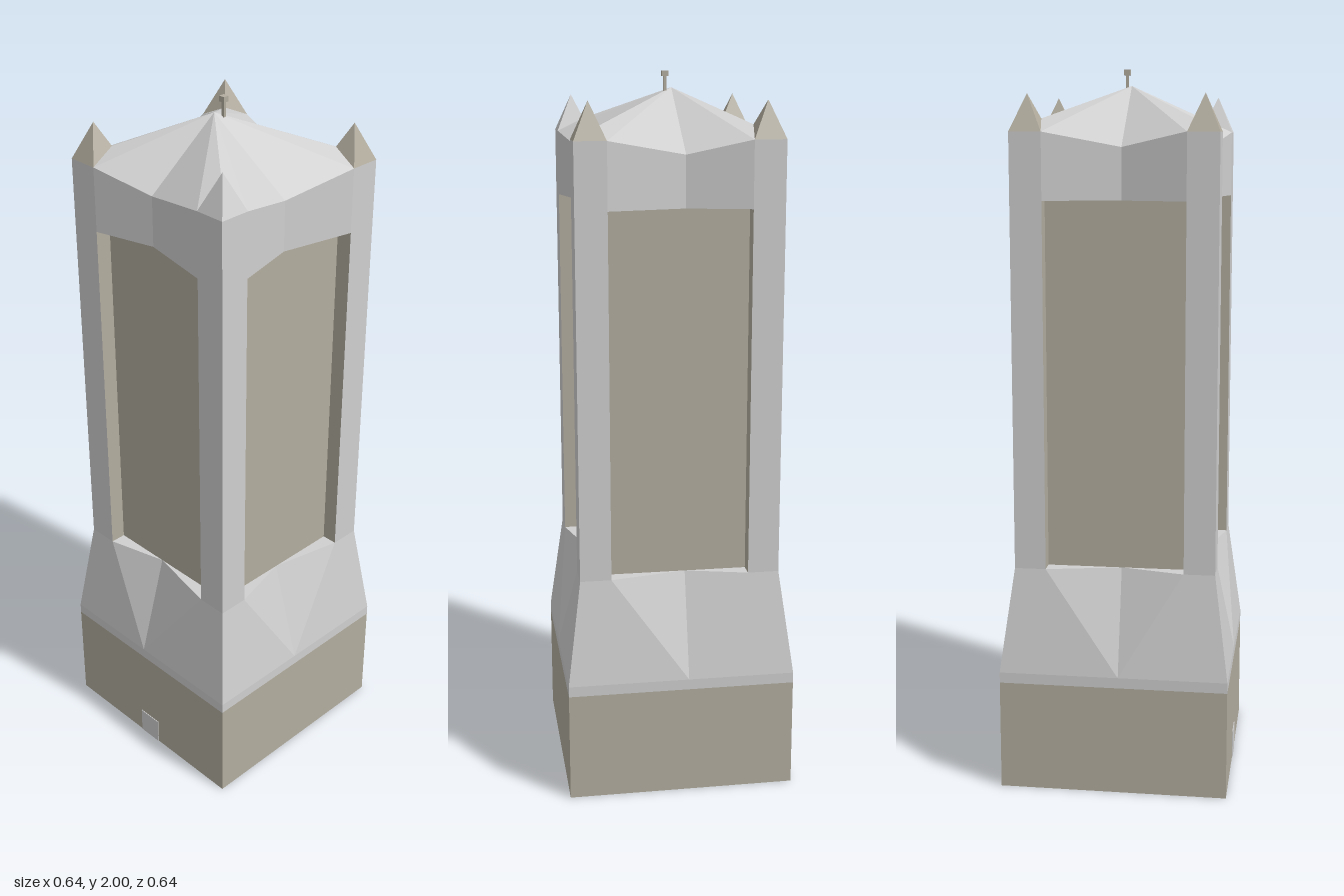
import * as THREE from 'three';

const stone = new THREE.MeshStandardMaterial({ color: 0xcfcfcf });
stone.name = 'paleStone';
const tan = new THREE.MeshStandardMaterial({ color: 0xb3ad9f });
tan.name = 'tanStone';

// Key outline sizes (half widths and heights)
const W = 0.32, H = 0.28, A = 0.193, D = 0.235;
const Y_BASE = 0.31, Y_BAND = 0.34, Y_SILL = 0.635, Y_HEAD = 1.65, Y_EAVE = 1.83, Y_MID = 1.79;

// Mesh from counter-clockwise convex polygons, flat shaded
function polyMesh(name, material, polys) {
  const pos = [];
  for (const p of polys)
    for (let i = 1; i < p.length - 1; i++) pos.push(...p[0], ...p[i], ...p[i + 1]);
  const g = new THREE.BufferGeometry();
  g.setAttribute('position', new THREE.Float32BufferAttribute(pos, 3));
  g.computeVertexNormals();
  const m = new THREE.Mesh(g, material);
  m.name = name;
  return m;
}

function box(name, material, w, h, d, x, y, z) {
  const m = new THREE.Mesh(new THREE.BoxGeometry(w, h, d), material);
  m.position.set(x, y, z);
  m.name = name;
  return m;
}

// One side of the tower, facing +z; m is the offset of the wall's inward fold
function createSide(m, apexZ) {
  const side = new THREE.Group();
  const walls = [], roof = [], recess = [];
  const apex = [m, 1.955, apexZ];
  for (const s of [-1, 1]) {
    // Polygons are written for the left half; the right half mirrors them
    const add = (list, ...pts) => list.push(s < 0 ? pts : pts.reverse());
    const w = s * W, h = s * H, a = s * A;
    // flared foot
    add(walls, [w, Y_BAND, W], [m, Y_BAND, W], [a, Y_SILL, H], [h, Y_SILL, H]);
    add(walls, [m, Y_BAND, W], [m, Y_SILL, D], [a, Y_SILL, H]);
    // corner pier
    add(walls, [h, Y_SILL, H], [a, Y_SILL, H], [a, Y_EAVE, H], [h, Y_EAVE, H]);
    // folded wall above the recess, its underside and the sill
    add(walls, [a, Y_HEAD, H], [m, Y_HEAD, D], [m, Y_MID, D], [a, Y_EAVE, H]);
    add(walls, [a, Y_HEAD, H], [a, Y_HEAD, D], [m, Y_HEAD, D]);
    add(walls, [a, Y_SILL, H], [m, Y_SILL, D], [a, Y_SILL, D]);
    // recess jamb
    add(recess, [a, Y_SILL, H], [a, Y_SILL, D], [a, Y_HEAD, D], [a, Y_HEAD, H]);
    // roof slopes
    add(roof, [a, Y_EAVE, H], [m, Y_MID, D], apex);
    add(roof, [s * 0.205, 1.865, 0.205], [a, Y_EAVE, H], apex);
  }
  recess.push([[-A, Y_SILL, D], [A, Y_SILL, D], [A, Y_HEAD, D], [-A, Y_HEAD, D]]);
  side.add(polyMesh('wall', stone, walls), polyMesh('recessedPanel', tan, recess),
    polyMesh('roofSlope', stone, roof));
  return side;
}

// Corner spike at +x +z
function createPinnacle(material) {
  const tip = [0.237, 1.93, 0.237];
  const ring = [[H, Y_EAVE, H], [H, Y_EAVE, A], [0.205, 1.865, 0.205], [A, Y_EAVE, H]];
  return polyMesh('pinnacle', material, ring.map((p, i) => [p, ring[(i + 1) % 4], tip]));
}

export function createModel() {
  const tower = new THREE.Group();
  tower.name = 'tower';

  // Base block with a pale underside, and the band above it
  const base = box('base', tan, 2 * W, Y_BASE, 2 * W, 0, Y_BASE / 2, 0);
  base.material = [tan, tan, tan, stone, tan, tan];
  tower.add(base);
  tower.add(box('baseBand', stone, 2 * W, Y_BAND - Y_BASE, 2 * W, 0, (Y_BAND + Y_BASE) / 2, 0));
  tower.add(box('door', stone, 0.075, 0.08, 0.004, -0.002, 0.04, W));

  // Four sides and corner pinnacles
  const folds = [-0.02, -0.015, 0.02, 0.015];
  const names = ['front', 'left', 'back', 'right'];
  folds.forEach((m, i) => {
    const side = createSide(m, -folds[(i + 1) % 4]);
    side.name = names[i] + 'Side';
    side.add(createPinnacle(i === 0 ? stone : tan));
    side.rotation.y = i * Math.PI / 2;
    tower.add(side);
  });

  // Finial
  tower.add(box('finialStem', tan, 0.008, 0.06, 0.008, 0, 1.96, 0));
  tower.add(box('finialCap', tan, 0.017, 0.015, 0.017, 0, 1.9925, 0));
  return tower;
}
